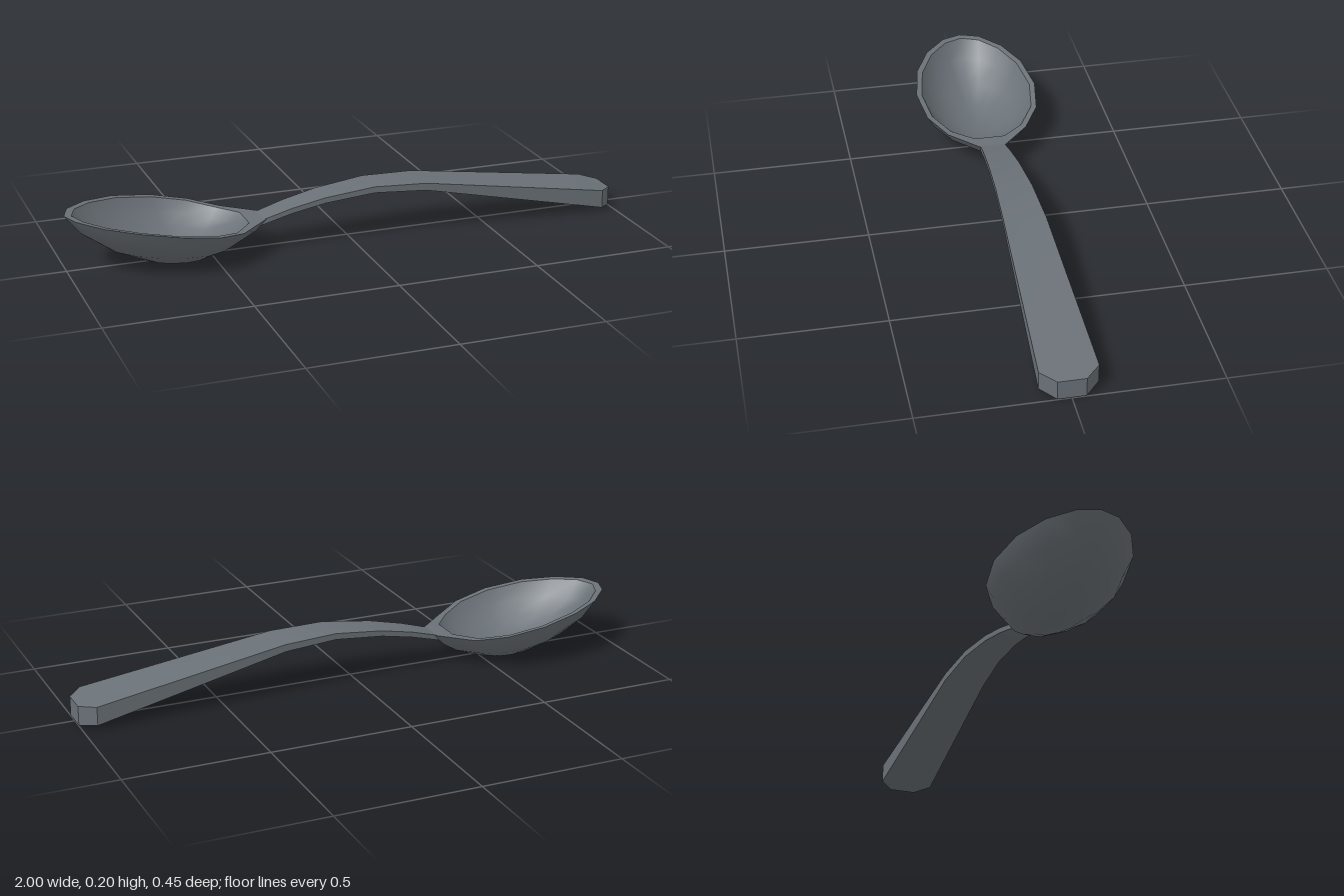
import * as THREE from 'three';
import { mergeVertices, toCreasedNormals } from 'three/addons/utils/BufferGeometryUtils.js';

// Surface stretched over a list of closed rings with equal point counts
function loft(rings, flip = false) {
  const n = rings[0].length, index = [];
  for (let k = 0; k < rings.length - 1; k++) {
    for (let i = 0; i < n; i++) {
      const j = (i + 1) % n;
      const a = k * n + i, b = k * n + j, c = a + n, d = b + n;
      if (flip) index.push(a, d, b, a, c, d);
      else index.push(a, b, d, a, d, c);
    }
  }
  const geometry = new THREE.BufferGeometry();
  geometry.setAttribute('position', new THREE.Float32BufferAttribute(rings.flat(2), 3));
  geometry.setIndex(index);
  return geometry;
}

// Full rim from [x, y, halfWidth] points running tip to neck
function mirrorRim(half) {
  const near = half.map(([x, y, z]) => [x, y, z]);
  const far = half.slice(1).reverse().map(([x, y, z]) => [x, y, -z]);
  return [...near, ...far];
}

// Rings shrinking from the rim down to the bottom of the bowl
function bowlRings(rim, centreX, bottom) {
  const levels = [[1, 1], [0.87, 0.65], [0.65, 0.32], [0.36, 0.04], [0, 0]];
  return levels.map(([s, h]) => rim.map(([x, y, z]) => [
    centreX + (x - centreX) * s, bottom + (y - bottom) * h, z * s,
  ]));
}

function smooth(geometry) {
  const merged = mergeVertices(geometry, 1e-4);
  merged.computeVertexNormals();
  return merged;
}

export function createModel() {
  const model = new THREE.Group();
  model.name = 'spoon';
  const steel = new THREE.MeshStandardMaterial({ color: 0x6a7177 });
  steel.name = 'dark steel';

  const add = (name, geometry, parent) => {
    const mesh = new THREE.Mesh(geometry, steel);
    mesh.name = name;
    parent.add(mesh);
  };

  // Bowl: outer shell, flat rim and hollow
  const bowl = new THREE.Group();
  bowl.name = 'bowl';
  model.add(bowl);
  const outerRim = mirrorRim([
    [-1, 0.197, 0], [-0.975, 0.197, 0.07], [-0.9, 0.189, 0.145], [-0.79, 0.176, 0.2],
    [-0.65, 0.154, 0.225], [-0.52, 0.13, 0.205], [-0.42, 0.111, 0.145], [-0.31, 0.113, 0.045],
  ]);
  const innerRim = mirrorRim([
    [-0.975, 0.195, 0], [-0.95, 0.194, 0.065], [-0.885, 0.186, 0.13], [-0.78, 0.173, 0.182],
    [-0.65, 0.152, 0.205], [-0.53, 0.13, 0.187], [-0.44, 0.112, 0.132], [-0.375, 0.111, 0.055],
  ]);
  add('bowlShell', smooth(loft(bowlRings(outerRim, -0.58, 0), true)), bowl);
  add('bowlRim', smooth(loft([outerRim, innerRim])), bowl);
  add('bowlHollow', smooth(loft(bowlRings(innerRim, -0.6, 0.02))), bowl);

  // Handle stations: x, top, bottom, half width
  const stations = [
    [-0.335, 0.108, 0.088, 0.04], [-0.31, 0.115, 0.097, 0.045], [-0.22, 0.141, 0.122, 0.049],
    [-0.1, 0.167, 0.147, 0.055], [0.08, 0.188, 0.166, 0.064], [0.27, 0.181, 0.155, 0.073],
    [0.95, 0.077, 0.012, 0.097], [1, 0.07, 0.002, 0.047],
  ];
  const sections = stations.map(([x, top, bottom, w]) => [
    [x, top, w], [x, bottom, w], [x, bottom, -w], [x, top, -w],
  ]);
  // Collapsed end rings close the handle
  const cap = ([x, top, bottom]) => Array(4).fill([x, (top + bottom) / 2, 0]);
  const rings = [cap(stations[0]), ...sections, cap(stations.at(-1))];
  add('handle', toCreasedNormals(loft(rings), 0.5), model);

  return model;
}
